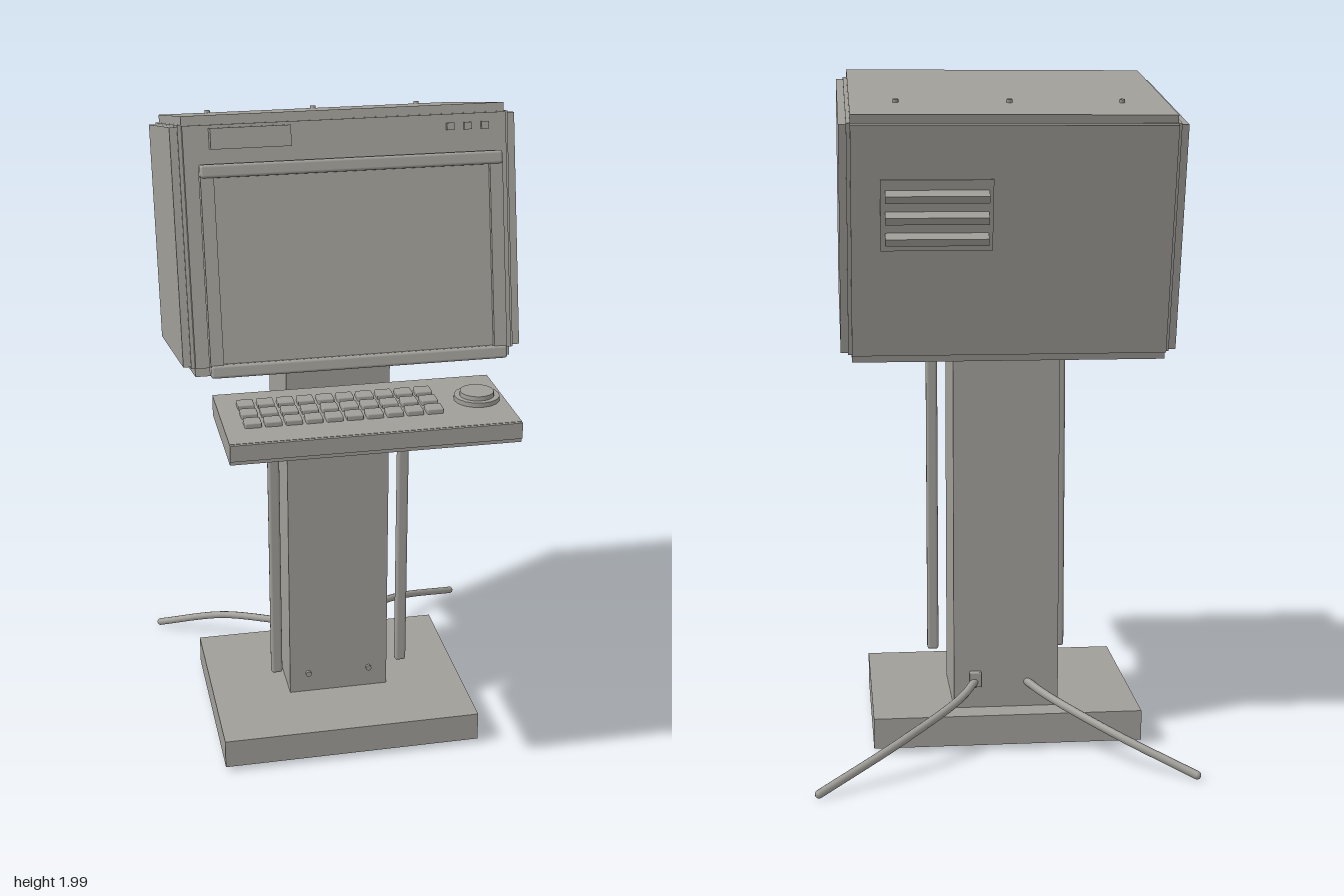
import * as THREE from 'three';
import { RoundedBoxGeometry } from 'three/addons/geometries/RoundedBoxGeometry.js';

export function createModel() {
  const model = new THREE.Group();
  model.name = 'kioskTerminal';
  const grey = new THREE.MeshStandardMaterial({ color: 0xa09e98 });
  grey.name = 'warm grey';

  const add = (parent, name, geometry, x, y, z) => {
    const mesh = new THREE.Mesh(geometry, grey);
    mesh.name = name;
    mesh.position.set(x, y, z);
    parent.add(mesh);
    return mesh;
  };
  const box = (parent, name, w, h, d, x, y, z) =>
    add(parent, name, new THREE.BoxGeometry(w, h, d), x, y, z);
  const rounded = (parent, name, w, h, d, r, x, y, z) =>
    add(parent, name, new RoundedBoxGeometry(w, h, d, 2, r), x, y, z);
  const group = (name) => {
    const g = new THREE.Group();
    g.name = name;
    model.add(g);
    return g;
  };
  const CX = -0.027; // shared centre line of the cabinet and stand

  // Stand: base slab, column, loose side rails and screws
  const stand = group('stand');
  box(stand, 'base', 0.794, 0.09, 0.635, CX, 0.07, 0.01);
  box(stand, 'column', 0.312, 1.12, 0.32, CX, 0.675, -0.07);
  for (const s of [-1, 1]) {
    rounded(stand, 'sideRail', 0.035, 0.95, 0.026, 0.009, CX + s * 0.199, 0.675, 0.092);
    const screw = add(stand, 'columnScrew', new THREE.CylinderGeometry(0.009, 0.009, 0.012, 12),
      CX + s * 0.097, 0.18, 0.093);
    screw.rotation.x = Math.PI / 2;
  }

  // Cabinet: tilted core with a separate panel on every face
  const cabinet = group('cabinet');
  cabinet.position.set(CX, 1.586, -0.065);
  cabinet.rotation.x = -0.213;
  box(cabinet, 'core', 0.916, 0.66, 0.662, 0, 0, 0);
  for (const s of [-1, 1]) {
    box(cabinet, s > 0 ? 'topPanel' : 'bottomPanel', 0.895, 0.023, 0.66, 0, s * 0.3415, 0);
    box(cabinet, s > 0 ? 'frontPanel' : 'backPanel', 0.895, 0.655, 0.02, 0, 0, s * 0.339);
    box(cabinet, 'sidePanel', 0.022, 0.65, 0.65, s * 0.468, 0, 0);
  }
  for (const x of [-0.318, 0, 0.318])
    add(cabinet, 'topScrew', new THREE.CylinderGeometry(0.008, 0.008, 0.012, 12), x, 0.356, -0.163);

  // Name plate and indicator lights above the screen
  box(cabinet, 'blankPlate', 0.218, 0.056, 0.038, -0.268, 0.291, 0.366);
  for (let i = 0; i < 3; i++)
    box(cabinet, 'indicator', 0.021, 0.02, 0.014, 0.288 + i * 0.049, 0.294, 0.353);

  // Screen bezel standing clear of the front panel
  const bezel = new THREE.Group();
  bezel.name = 'screenAssembly';
  bezel.position.set(0, -0.06, 0.405);
  cabinet.add(bezel);
  for (const s of [-1, 1]) {
    rounded(bezel, 'bezelRail', 0.828, 0.036, 0.05, 0.008, 0, s * 0.268, 0);
    box(bezel, 'bezelPost', 0.036, 0.51, 0.04, s * 0.396, 0, 0);
  }
  box(bezel, 'screen', 0.765, 0.51, 0.02, 0, 0, -0.004);

  // Back louvres on a thin plate
  box(cabinet, 'louvrePlate', 0.31, 0.2, 0.006, 0.212, 0.08, -0.351);
  for (let i = 0; i < 3; i++) {
    const slat = box(cabinet, 'louvre', 0.285, 0.022, 0.034, 0.212, 0.016 + i * 0.06, -0.366);
    slat.rotation.x = -0.3;
  }

  // Keyboard shelf with keys and a round dial
  const keyboard = group('keyboard');
  box(keyboard, 'tray', 0.795, 0.06, 0.35, CX, 1.204, 0.459);
  box(keyboard, 'frontLip', 0.795, 0.046, 0.012, CX, 1.21, 0.637);
  const key = new RoundedBoxGeometry(0.046, 0.02, 0.046, 1, 0.004);
  for (let row = 0; row < 3; row++)
    for (let col = 0; col < 10; col++)
      add(keyboard, 'key', key, -0.346 + col * 0.0557, 1.238, 0.386 + row * 0.0645);
  add(keyboard, 'dialBase', new THREE.CylinderGeometry(0.064, 0.064, 0.014, 16), 0.293, 1.24, 0.455);
  add(keyboard, 'dial', new THREE.CylinderGeometry(0.047, 0.049, 0.024, 24), 0.293, 1.247, 0.455);

  // Cables trailing from the back of the column
  const cables = group('cables');
  const cable = (points) => {
    const path = new THREE.CatmullRomCurve3(points.map((p) => new THREE.Vector3(...p)));
    add(cables, 'cable', new THREE.TubeGeometry(path, 24, 0.012, 10), 0, 0, 0);
    // end caps
    for (const t of [0, 1])
      add(cables, 'cableEnd', new THREE.SphereGeometry(0.012, 10, 6), ...path.getPoint(t).toArray());
  };
  cable([[0.065, 0.2, -0.235], [0.11, 0.168, -0.29], [0.3, 0.105, -0.475], [0.53, 0.022, -0.63]]);
  cable([[-0.09, 0.19, -0.225], [-0.14, 0.165, -0.28], [-0.33, 0.1, -0.475], [-0.53, 0.025, -0.6]]);
  rounded(cables, 'socket', 0.036, 0.046, 0.02, 0.004, 0.065, 0.204, -0.236);

  return model;
}
